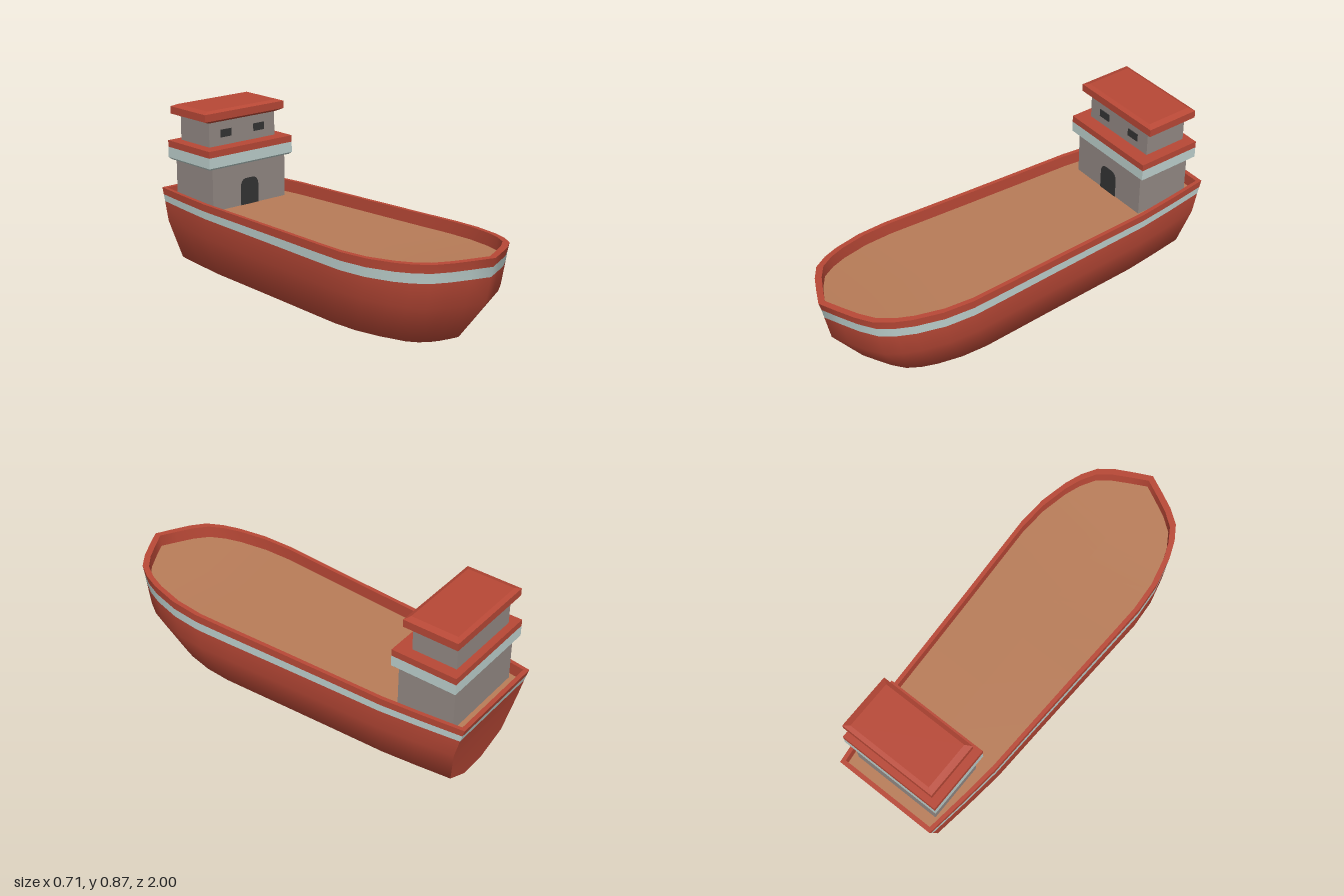
import * as THREE from 'three';
import { toCreasedNormals } from 'three/addons/utils/BufferGeometryUtils.js';

const mat = (name, color) => {
  const m = new THREE.MeshStandardMaterial({ color });
  m.name = name;
  return m;
};
const lerp = THREE.MathUtils.lerp;

// Half-width of the rail from stern to bow: [z, width]
const PLAN = [[-1, 0.262], [-0.8, 0.288], [-0.6, 0.31], [-0.3, 0.322], [0, 0.335], [0.25, 0.347], [0.43, 0.355],
  [0.58, 0.345], [0.72, 0.312], [0.8, 0.28], [0.87, 0.235], [0.92, 0.165], [0.96, 0.085], [1, 0]];

// Height of the rail along the hull
const sheer = (z) => lerp(0.435, 0.46, (z + 1) / 2) + (z > 0.3 ? 0.028 * ((z - 0.3) / 0.7) ** 2 : 0);
const keel = (z) => (z > 0.42 ? 0.078 * ((z - 0.42) / 0.38) ** 2 : 0);

// Section rows from keel over the rail to the deck: stern z, bow z, width factor, height, colour of next band
const RED = 0, PALE = 1, WOOD = 2;
const ROWS = [
  [-0.9, 0.8, 0, (s, z) => keel(z), RED],
  [-0.9, 0.8, 0.27, (s, z) => keel(z), RED],
  [-0.915, 0.8, 0.8, () => 0.078, RED],
  [-0.955, 0.95, 1, () => 0.27, RED],
  [-0.98, 0.978, 1, (s) => sheer(s) - lerp(0.068, 0.09, (s + 1) / 2), PALE],
  [-0.99, 0.988, 1, (s) => sheer(s) - lerp(0.034, 0.042, (s + 1) / 2), RED],
  [-1, 1, 1, (s) => sheer(s), RED],
  [-0.978, 0.968, 0.94, (s) => sheer(s), RED],
  [-0.978, 0.965, 0.935, (s) => sheer(s) - 0.06, WOOD],
  [-0.978, 0.965, 0, (s) => sheer(s) - 0.06, WOOD],
];

function hullGeometry() {
  const point = (i, j, side) => {
    const [s, w] = PLAN[i];
    const [stern, bow, k, height] = ROWS[j];
    const z = lerp(stern, bow, (s + 1) / 2);
    return [side * w * k, height(s, z), z];
  };
  const bands = [[], [], []];
  const quad = (c, a, b, d, e) => bands[c].push(...a, ...b, ...d, ...b, ...e, ...d);
  for (let j = 0; j < ROWS.length - 1; j++) {
    const c = ROWS[j][4];
    for (let i = 0; i < PLAN.length - 1; i++) {
      quad(c, point(i, j, 1), point(i, j + 1, 1), point(i + 1, j, 1), point(i + 1, j + 1, 1));
      quad(c, point(i, j, -1), point(i + 1, j, -1), point(i, j + 1, -1), point(i + 1, j + 1, -1));
    }
    // Transom, stern rail and its inner wall
    if (c !== WOOD) quad(c, point(0, j, -1), point(0, j + 1, -1), point(0, j, 1), point(0, j + 1, 1));
  }
  const geo = new THREE.BufferGeometry();
  geo.setAttribute('position', new THREE.Float32BufferAttribute(bands.flat(), 3));
  let start = 0;
  bands.forEach((b, c) => {
    geo.addGroup(start, b.length / 3, c);
    start += b.length / 3;
  });
  return toCreasedNormals(geo, 1.0);
}

// Box whose lower and upper rectangles may differ: [halfX, halfZ]
function tier(name, material, y0, y1, lower, upper, z) {
  const geo = new THREE.BoxGeometry(2, y1 - y0, 2);
  const p = geo.attributes.position;
  for (let i = 0; i < p.count; i++) {
    const [hx, hz] = p.getY(i) > 0 ? upper : lower;
    p.setX(i, p.getX(i) * hx);
    p.setZ(i, p.getZ(i) * hz);
  }
  geo.computeVertexNormals();
  const mesh = new THREE.Mesh(geo, material);
  mesh.name = name;
  mesh.position.set(0, (y0 + y1) / 2, z);
  return mesh;
}

export function createModel() {
  const red = mat('hullRed', 0xb84836);
  const pale = mat('paleStripe', 0xbdd0cd);
  const wood = mat('deckWood', 0xb87c58);
  const grey = mat('cabinGrey', 0x938984);
  const dark = mat('openingDark', 0x343434);

  const ship = new THREE.Group();
  ship.name = 'cargoShip';
  const hull = new THREE.Mesh(hullGeometry(), [red, pale, wood]);
  hull.name = 'hull';
  ship.add(hull);

  // Cabin tiers, ledge and roof
  const cabin = new THREE.Group();
  cabin.name = 'cabin';
  const ledge = [0.26, 0.165], roof = [0.247, 0.138];
  cabin.add(
    tier('lowerCabin', grey, 0.36, 0.6, [0.227, 0.145], [0.227, 0.145], -0.775),
    tier('ledgeUnderside', pale, 0.592, 0.602, [0.25, 0.155], ledge, -0.775),
    tier('ledgeBand', pale, 0.602, 0.655, ledge, ledge, -0.775),
    tier('ledgeTop', red, 0.655, 0.688, ledge, ledge, -0.775),
    tier('upperCabin', grey, 0.688, 0.815, [0.205, 0.113], [0.205, 0.113], -0.792),
    tier('roofUnderside', red, 0.808, 0.822, [0.21, 0.115], roof, -0.792),
    tier('roofEdge', red, 0.822, 0.859, roof, roof, -0.792),
    tier('roofTop', red, 0.859, 0.869, roof, [0.217, 0.118], -0.792),
  );

  // Arched door
  const arch = new THREE.Shape();
  arch.moveTo(-0.054, 0.37);
  arch.lineTo(0.054, 0.37);
  arch.lineTo(0.054, 0.475);
  arch.quadraticCurveTo(0.05, 0.512, 0.02, 0.513);
  arch.lineTo(-0.02, 0.513);
  arch.quadraticCurveTo(-0.05, 0.512, -0.054, 0.475);
  const door = new THREE.Mesh(new THREE.ExtrudeGeometry(arch, { depth: 0.004, bevelEnabled: false }), dark);
  door.name = 'door';
  door.position.z = -0.631;
  cabin.add(door);

  // Front windows
  for (const side of [-1, 1]) {
    const pane = new THREE.Mesh(new THREE.BoxGeometry(0.067, 0.038, 0.006), dark);
    pane.name = side > 0 ? 'leftWindow' : 'rightWindow';
    pane.position.set(side * 0.103, 0.747, -0.678);
    cabin.add(pane);
  }
  ship.add(cabin);
  return ship;
}
